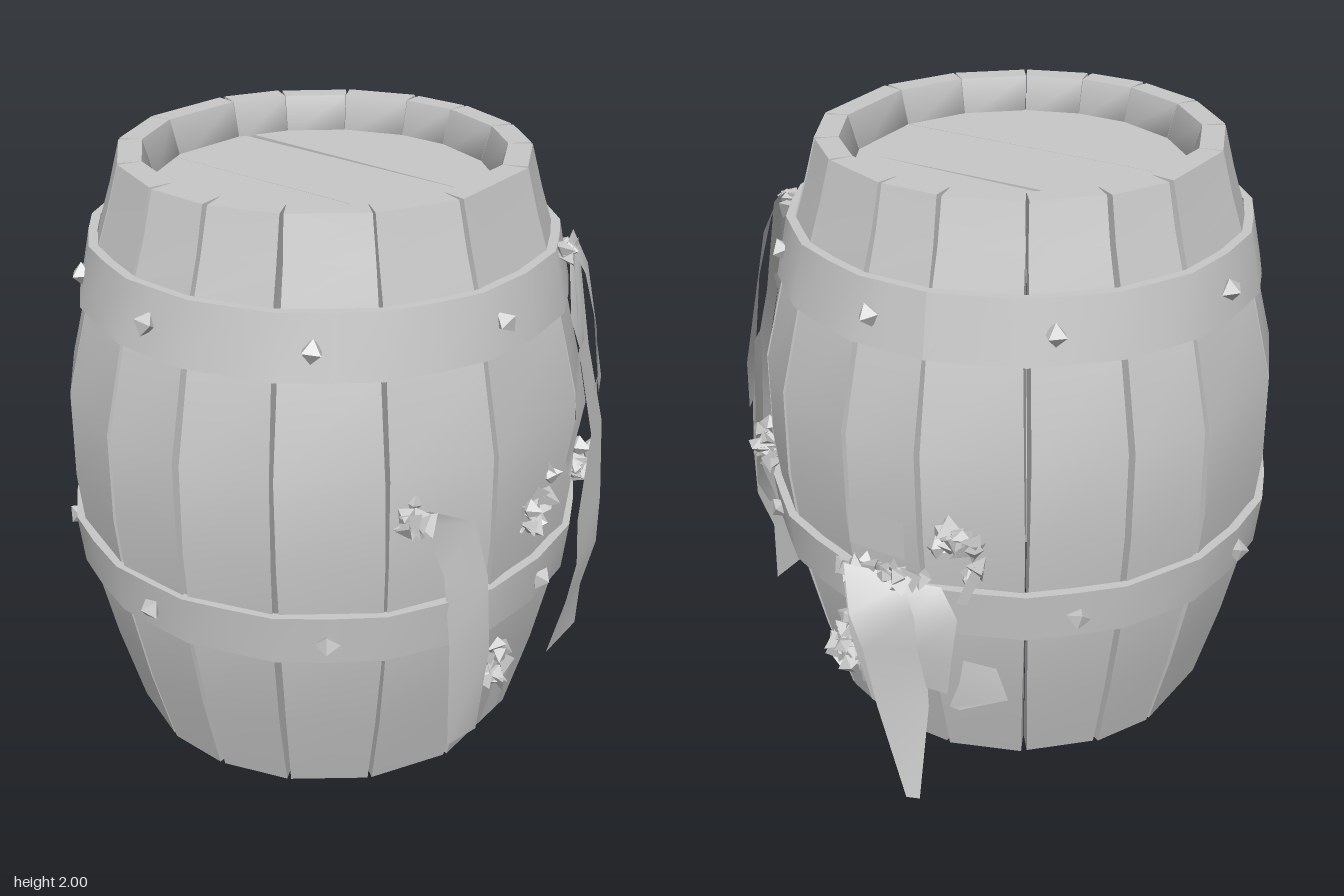
import * as THREE from 'three';
import { mergeGeometries } from 'three/addons/utils/BufferGeometryUtils.js';

const CX = -0.065, CZ = -0.01, RAD = Math.PI / 180;

let seed = 7;
const rand = () => (seed = (seed * 16807) % 2147483647) / 2147483647;
const vary = (a) => (rand() * 2 - 1) * a;

// Point at radius, height and angle about the barrel axis
const polar = (r, y, a) => [CX + r * Math.cos(a * RAD), y, CZ + r * Math.sin(a * RAD)];

// Surface through rows of points, smooth within itself
function grid(rows) {
  const n = rows[0].length, index = [];
  for (let r = 0; r < rows.length - 1; r++)
    for (let c = 0; c < n - 1; c++) {
      const a = r * n + c;
      index.push(a, a + 1, a + n + 1, a, a + n + 1, a + n);
    }
  const g = new THREE.BufferGeometry();
  g.setAttribute('position', new THREE.Float32BufferAttribute(rows.flat(2), 3));
  g.setIndex(index);
  g.computeVertexNormals();
  return g;
}

// Angles of the seams between staves
const SEAMS = [-10, 8, 31, 50, 72, 104, 128, 151, 171, 190, 213, 236, 259, 288, 307, 328, 350];

// Height, outer radius, inner radius
const PROFILE = [
  [0, 0.688, 0.605], [0.3, 0.77, 0.69], [0.6, 0.835, 0.76], [0.95, 0.87, 0.8], [1.25, 0.866, 0.79],
  [1.55, 0.79, 0.71], [1.75, 0.735, 0.65], [1.86, 0.7, 0.545], [2, 0.662, 0.585],
];

// Stave with wedge-shaped gaps that almost close on the inside
function stave(a0, a1) {
  const push = vary(0.006), g0 = 0.3 + rand() * 0.6, g1 = 0.3 + rand() * 0.6;
  const rows = PROFILE.map(([y, ro, ri], k) => {
    const wave = 0.25 * Math.sin(k * 1.3 + a0);
    return [polar(ro + push, y, a1 - g1 + wave), polar(ro + push, y, a0 + g0 + wave),
      polar(ri, y, a0 + 0.08), polar(ri, y, a1 - 0.08)];
  });
  const parts = [0, 1, 2, 3].map((k) => grid(rows.map((q) => [q[k], q[(k + 1) % 4]])));
  const [b, t] = [rows[0], rows[rows.length - 1]];
  parts.push(grid([[t[0], t[1]], [t[3], t[2]]]), grid([[b[3], b[2]], [b[0], b[1]]]));
  return mergeGeometries(parts);
}

// Iron band bent over the staves, slightly bowed between seams, with crisp edges
function hoop(y0, y1, r0, r1) {
  const t = 0.03, pts = [[r0, y0], [r1, y1], [r1 - t, y1], [r0 - t, y0]];
  const angles = SEAMS.flatMap((a, i) => (i ? [[(a + SEAMS[i - 1]) / 2, 0.988], [a, 1]] : [[a, 1]])).reverse();
  const ring = ([r, y]) => angles.map(([a, s]) => polar(r * s, y, a));
  return mergeGeometries(pts.map((p, i) => grid([ring(p), ring(pts[(i + 1) % 4])])));
}

// Lid board: circle slice between two slightly slanted edges (x at back, x at front)
function lidBoard(left, right) {
  const R = 0.565, N = 10, s = new THREE.Shape();
  const side = (x, sign) => [x, sign * Math.sqrt(Math.max(0, R * R - x * x))];
  for (let i = 0; i <= N; i++) s[i ? 'lineTo' : 'moveTo'](...side(left[1] + (right[1] - left[1]) * i / N, -1));
  for (let i = N; i >= 0; i--) s.lineTo(...side(left[0] + (right[0] - left[0]) * i / N, 1));
  return new THREE.ExtrudeGeometry(s, { depth: 0.04, bevelEnabled: false })
    .rotateX(-Math.PI / 2).translate(CX, 1.845, CZ);
}

// Ragged strip; rows are [start, end, height, depth at start, depth at end]
function strip(face, rows) {
  const at = (u, y, d) => (face === 'front' ? [u, y, d] : [d, y, u]);
  return grid(rows.map(([u0, u1, y, d0, d1 = d0]) => [at(u0, y, d0), at(u1, y + vary(0.012), d1)]));
}

// Clump of small angular flakes
function clump(x, y, z, sx, sy, sz, count, ring = 0) {
  const bits = [];
  for (let i = 0; i < count; i++) {
    const a = rand() * 2 * Math.PI, d = ring + (1 - ring) * Math.sqrt(rand());
    const g = i % 2 ? new THREE.TetrahedronGeometry(0.044) : new THREE.OctahedronGeometry(0.036);
    g.scale(0.8 + rand() * 0.6, 0.5 + rand() * 0.5, 0.8 + rand() * 0.5);
    g.rotateX(rand() * 6).rotateY(rand() * 6).rotateZ(rand() * 6);
    bits.push(g.translate(x + sx * d * Math.cos(a), y + sy * d * Math.sin(a),
      z + sz * (sx > 0.03 ? vary(1) : d * Math.cos(a))));
  }
  return mergeGeometries(bits);
}

export function createModel() {
  const root = new THREE.Group();
  const grey = new THREE.MeshStandardMaterial({ color: 0xc8c8c8, side: THREE.DoubleSide });
  grey.name = 'weathered grey';
  const add = (name, geometry, parent = root) => {
    const m = new THREE.Mesh(geometry, grey);
    m.name = name;
    parent.add(m);
    return m;
  };
  const group = (name) => {
    const g = new THREE.Group();
    g.name = name;
    root.add(g);
    return g;
  };

  // Staves
  const staves = group('staves');
  for (let i = 0; i < SEAMS.length - 1; i++) add('stave', stave(SEAMS[i], SEAMS[i + 1]), staves);

  // Lid boards, open bottom
  const lid = group('lid');
  add('lidBoard', lidBoard([-0.564, -0.564], [-0.138, -0.137]), lid);
  add('lidBoard', lidBoard([-0.137, -0.134], [0.193, 0.196]), lid);
  add('lidBoard', lidBoard([0.22, 0.194], [0.564, 0.564]), lid);

  // Hoops and rivets
  const hoops = group('hoops');
  add('lowerHoop', hoop(0.61, 0.785, 0.862, 0.88), hoops);
  add('upperHoop', hoop(1.545, 1.745, 0.81, 0.768), hoops);
  const rivets = group('rivets');
  const rivetRow = (y, r, angles) => angles.forEach((a) => {
    const m = add('rivet', new THREE.OctahedronGeometry(0.04), rivets);
    m.position.set(...polar(r, y, a));
    m.rotation.set(a, a * 2, a * 3);
  });
  rivetRow(1.64, 0.79, [4, 48, 98, 143, 182, 216, 275, 322]);
  rivetRow(0.69, 0.868, [2, 45, 86, 140, 180, 225, 272, 317]);

  // Hanging strips on the front
  const strips = group('hangingStrips');
  add('leftStrip', strip('front', [[-0.37, -0.25, 0.18, 0.76, 0.79], [-0.41, -0.32, 0.6, 0.78, 0.87],
    [-0.44, -0.35, 0.88, 0.77, 0.87], [-0.49, -0.37, 1.07, 0.73, 0.83], [-0.56, -0.5, 1.13, 0.7, 0.75]]), strips);
  add('mainStrip', strip('front', [[0.2, 0.41, 0.24, 0.78, 0.77], [0.24, 0.37, 0.45, 0.82, 0.8],
    [0.24, 0.42, 0.62, 0.85, 0.82], [0.22, 0.42, 0.8, 0.85, 0.82], [0.28, 0.4, 1.1, 0.84, 0.81],
    [0.2, 0.32, 1.4, 0.82, 0.78], [0.24, 0.34, 1.74, 0.74, 0.7]]), strips);
  add('rightStrip', strip('front', [[0.48, 0.54, 1.06, 0.74, 0.71], [0.38, 0.5, 1.2, 0.8, 0.74],
    [0.33, 0.43, 1.45, 0.8, 0.73], [0.28, 0.38, 1.65, 0.77, 0.72], [0.26, 0.34, 1.75, 0.71, 0.68]]), strips);
  add('innerStrip', strip('front', [[0.13, 0.15, 1.01, 0.85], [0.11, 0.19, 1.08, 0.85, 0.83],
    [0.15, 0.26, 1.22, 0.85, 0.82], [0.16, 0.24, 1.36, 0.83, 0.8], [0.19, 0.27, 1.44, 0.82, 0.79],
    [0.16, 0.27, 1.54, 0.8, 0.77], [0.24, 0.29, 1.72, 0.73]]), strips);
  add('lowerStrip', strip('front', [[0.34, 0.38, 0.55, 0.8], [0.38, 0.47, 0.7, 0.82, 0.77],
    [0.39, 0.49, 0.9, 0.79, 0.74], [0.33, 0.42, 1.25, 0.81, 0.77]]), strips);
  add('lowFrontStrip', strip('front', [[-0.18, -0.09, 0.16, 0.76], [-0.15, -0.07, 0.36, 0.8]]), strips);

  // Hanging strips on the left side
  add('longSideStrip', strip('side', [[-0.16, -0.2, 0.01, 0.92, 0.9], [-0.06, -0.2, 0.35, 0.92, 0.83],
    [-0.03, -0.2, 0.58, 0.94, 0.84], [0, -0.18, 0.72, 0.96, 0.85], [0.08, -0.14, 0.83, 0.87, 0.81]]), strips);
  add('shortSideStrip', strip('side', [[-0.2, -0.28, 0.43, 0.84], [-0.19, -0.3, 0.6, 0.87, 0.84],
    [-0.19, -0.31, 0.73, 0.88, 0.82], [-0.12, -0.24, 0.82, 0.84, 0.8]]), strips);
  add('frontSideStrip', strip('side', [[0.03, 0, 0.28, 0.83], [0.08, -0.02, 0.55, 0.86],
    [0.12, 0, 0.78, 0.83]]), strips);
  add('sideFlap', strip('side', [[-0.26, -0.3, 0.35, 0.8], [-0.3, -0.47, 0.46, 0.8, 0.78], [-0.31, -0.42, 0.55, 0.79, 0.77]]), strips);
  add('sidePatch', strip('side', [[0.09, -0.12, 0.88, 0.82], [0.09, -0.12, 1.03, 0.82]]), strips);
  add('lowSidePatch', strip('side', [[0.15, 0.07, 0.23, 0.72], [0.13, 0.03, 0.45, 0.77]]), strips);
  add('sideTip', strip('side', [[-0.3, -0.34, 0.78, 0.81], [-0.36, -0.4, 0.93, 0.8]]), strips);

  // Clumps of flakes
  const clumps = group('clumps');
  [[-0.54, 1.12, 0.72, 0.06, 0.05, 0.02, 10], [-0.04, 0.96, 0.83, 0.06, 0.06, 0.02, 13, 0.6],
    [0.06, 1.05, 0.83, 0.025, 0.02, 0.015, 2], [-0.15, 0.4, 0.78, 0.07, 0.08, 0.02, 13],
    [0.46, 0.88, 0.71, 0.06, 0.08, 0.03, 18], [0.24, 1.72, 0.71, 0.04, 0.03, 0.02, 5],
    [0.7, 0.31, 0.21, 0.04, 0.07, 0.07, 20], [0.77, 0.47, 0.12, 0.04, 0.09, 0.07, 20],
    [0.82, 0.78, 0.02, 0.04, 0.05, 0.1, 16], [0.82, 0.82, -0.12, 0.04, 0.025, 0.06, 7],
    [0.79, 0.99, -0.29, 0.035, 0.05, 0.07, 15], [0.77, 0.9, -0.36, 0.035, 0.04, 0.03, 3],
  ].forEach((c) => add('clump', clump(...c), clumps));

  return root;
}
